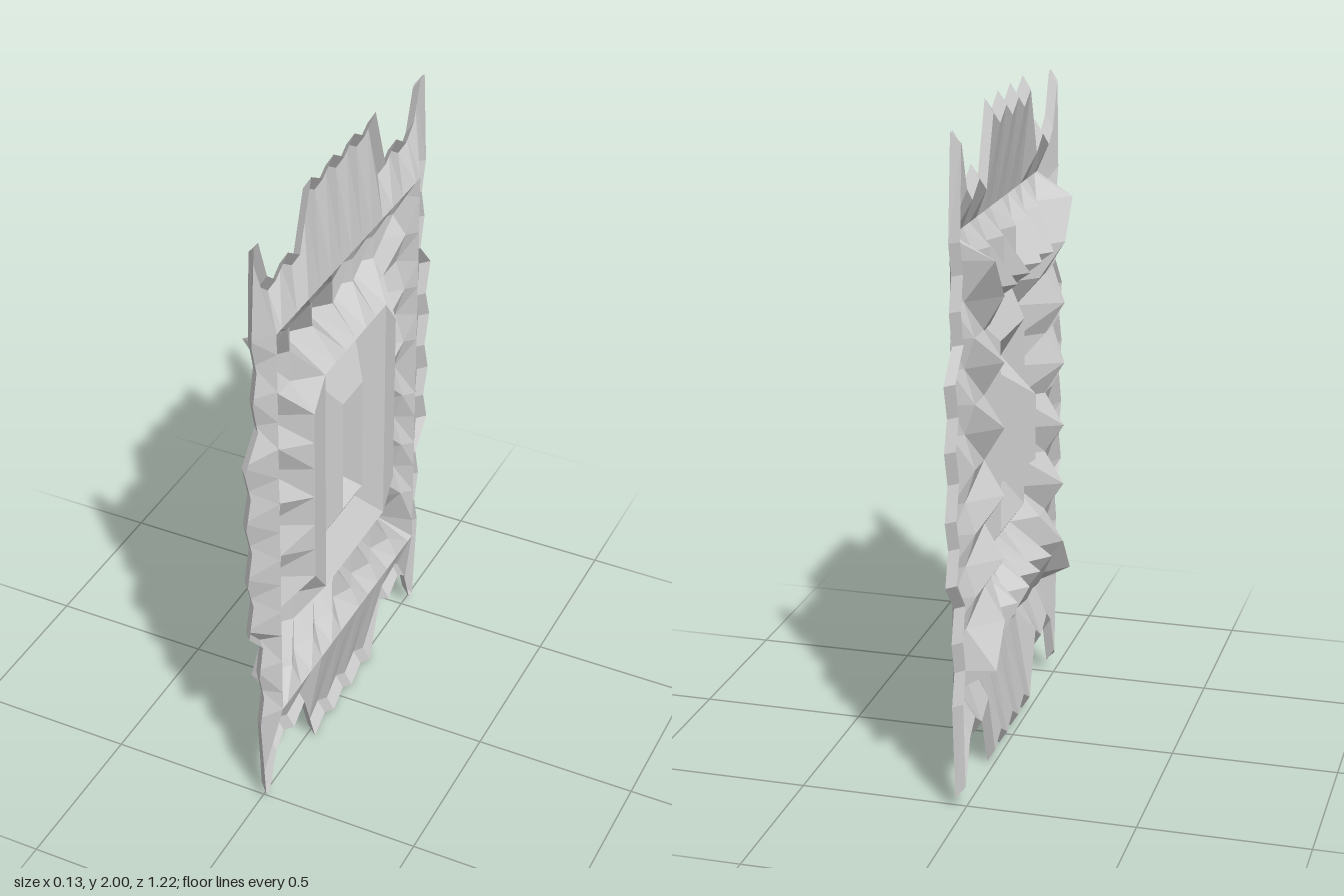
import * as THREE from 'three';

// Panel lies in the y-z plane and is mirrored about y = 1 and z = 0.
const MID = 1;
const Z = [0, 0.065, 0.13, 0.2, 0.27, 0.34, 0.43, 0.46];
const Y = [0, 0.1, 0.19, 0.29, 0.38, 0.48, 0.6, 0.665];
const RIM = 7;

// Relief height (x) at grid row i, column j, counted outward from the centre.
function relief(i, j) {
  const ring = Math.max(i, j);
  const along = Math.min(i, j);
  if (ring === RIM) return 0.05;
  if (ring === 6) return along === 6 ? -0.07 : along % 2 ? 0.02 : -0.01;
  if (ring === 5) return along % 2 ? -0.07 : -0.01; // pleat teeth
  if (i === 4 && j === 4) return -0.01; // cut corners of the raised frame
  if (ring === 4 || j === 3) return 0.065; // raised frame
  if (i === 3 || j === 2) return 0; // channel
  if (i === 2 || j === 1) return 0.055; // edge of the central pit
  return -0.07; // pit bottom
}

function makeMesh(name, triangles) {
  const geometry = new THREE.BufferGeometry().setFromPoints(triangles);
  geometry.computeVertexNormals();
  const mesh = new THREE.Mesh(geometry, new THREE.MeshStandardMaterial({
    color: 0xcccccc, flatShading: true, side: THREE.DoubleSide,
  }));
  mesh.name = name;
  return mesh;
}

// Pleated and stepped field inside the rim
function reliefPanel() {
  const at = (i, j) => new THREE.Vector3(
    relief(Math.abs(i), Math.abs(j)),
    MID + Math.sign(i) * Y[Math.abs(i)],
    Math.sign(j) * Z[Math.abs(j)],
  );
  const tris = [];
  for (let i = -RIM; i < RIM; i++) {
    for (let j = -RIM; j < RIM; j++) {
      const a = at(i, j), b = at(i + 1, j), c = at(i + 1, j + 1), d = at(i, j + 1);
      const ci = i < 0 ? -i - 1 : i, cj = j < 0 ? -j - 1 : j;
      let radial = (i >= 0) === (j >= 0);
      if (ci === 3 && cj === 3) radial = !radial;
      if (radial) tris.push(a, b, c, a, c, d);
      else tris.push(a, b, d, b, c, d);
    }
  }
  return makeMesh('reliefPanel', tris);
}

// Quarter of the jagged edge, from the side middle to the top middle:
// outer z, outer y, rim row, rim column
const EDGE = [
  [0.58, 0, 0, 7], [0.61, 0.1, 1, 7], [0.58, 0.19, 2, 7], [0.61, 0.29, 3, 7],
  [0.53, 0.38, 4, 7], [0.555, 0.48, 5, 7], [0.53, 0.575, 6, 7], [0.555, 0.67, 7, 7],
  [0.53, 0.965, 7, 7], [0.505, 0.965, 7, 7], [0.46, 0.84, 7, 7], [0.41, 0.8, 7, 6],
  [0.34, 0.845, 7, 5], [0.27, 0.8, 7, 4], [0.2, 1, 7, 3], [0.13, 0.96, 7, 2],
  [0.065, 1, 7, 1], [0, 0.96, 7, 0],
];

function edgeLoop() {
  const quarter = EDGE.map(([z, y, i, j], n) => ({
    outer: [0.025, y, z],
    // the foot of the lip steps inward, sideways on the sides and down on the top
    foot: n < 8 ? [0, y, z - 0.028] : n === 8 ? [0, y - 0.03, z - 0.018]
      : [0, y - 0.04, z],
    rim: [0.05, Y[i], Z[j]],
  }));
  const mirror = (list, sy, sz) => list.map((p) => {
    const q = {};
    for (const key in p) {
      const [x, y, z] = p[key];
      q[key] = new THREE.Vector3(x, MID + sy * y, sz * z);
    }
    return q;
  });
  const back = quarter.slice(1, -1).reverse();
  return [
    ...mirror(quarter, 1, 1),
    ...mirror([...back, quarter[0]], 1, -1),
    ...mirror(quarter.slice(1), -1, -1),
    ...mirror(back, -1, 1),
  ];
}

// Band between two named lines of the edge loop
function band(name, loop, inner, outer) {
  const tris = [];
  loop.forEach((p, n) => {
    const q = loop[(n + 1) % loop.length];
    tris.push(p[inner], q[inner], q[outer], p[inner], q[outer], p[outer]);
  });
  return makeMesh(name, tris);
}

export function createModel() {
  const group = new THREE.Group();
  group.name = 'jaggedPanel';
  const loop = edgeLoop();
  group.add(reliefPanel());
  group.add(band('slopingBorder', loop, 'rim', 'foot'));
  group.add(band('jaggedLip', loop, 'foot', 'outer'));
  return group;
}
